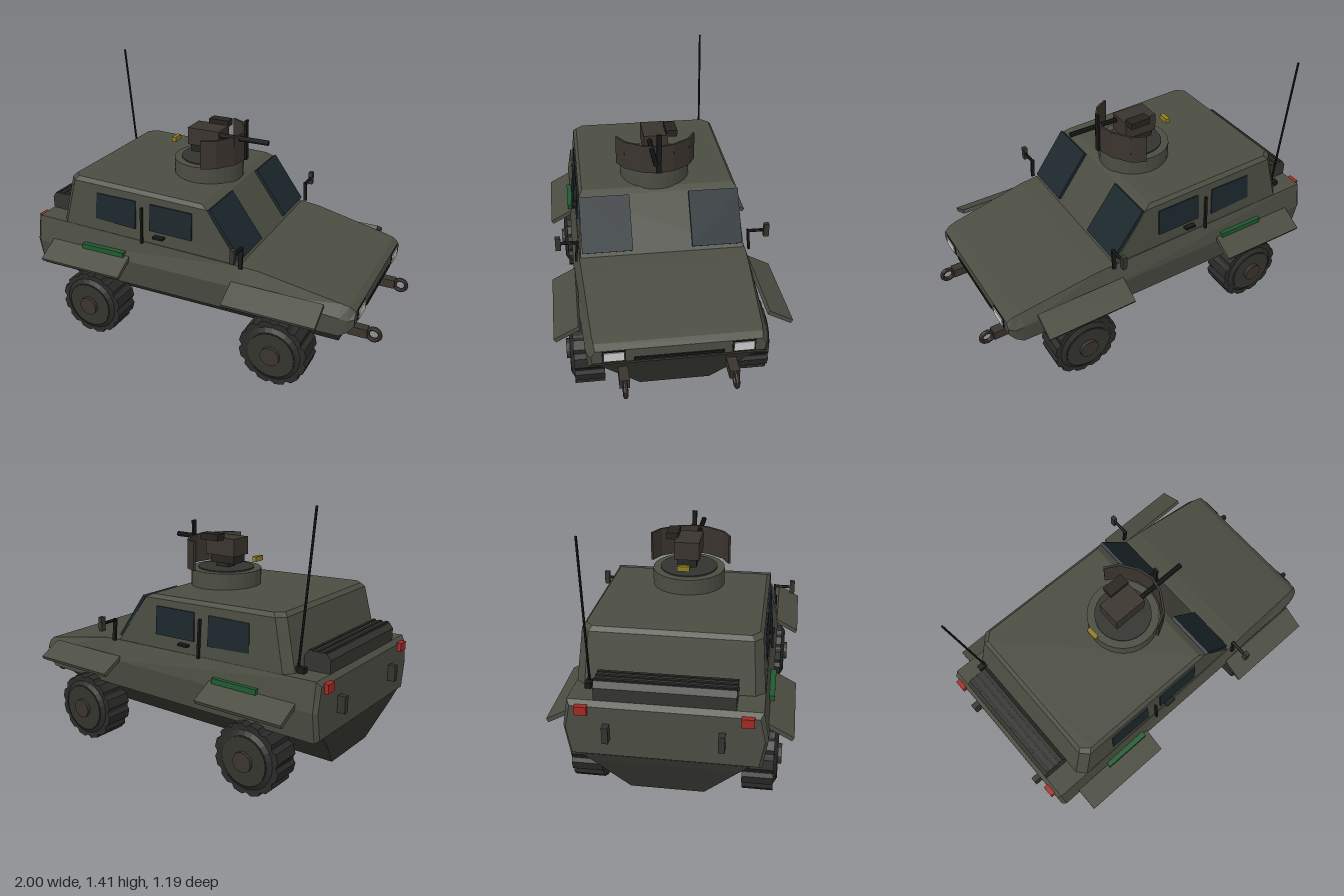
import * as THREE from 'three';

const mat = (color, side = THREE.FrontSide) =>
  new THREE.MeshStandardMaterial({ color, flatShading: true, side });
const M = {
  body: mat(0x4b4d42), dark: mat(0x33342e), metal: mat(0x3a342e), gun: mat(0x262420),
  black: mat(0x181818), tyre: mat(0x2a2a29), glass: mat(0x1c272c), lamp: mat(0xcccccc),
  red: mat(0xa02a22), green: mat(0x1f5a30), yellow: mat(0x8f7d22),
};

export function createModel() {
  const root = new THREE.Group();
  root.name = 'armouredCar';

  function add(name, geo, material, x = 0, y = 0, z = 0, rx = 0, ry = 0, rz = 0) {
    const m = new THREE.Mesh(geo, material);
    m.name = name;
    m.position.set(x, y, z);
    m.rotation.set(rx, ry, rz);
    root.add(m);
    return m;
  }
  const box = (name, material, size, ...place) =>
    add(name, new THREE.BoxGeometry(...size), material, ...place);
  const cyl = (name, material, r, h, n, ...place) =>
    add(name, new THREE.CylinderGeometry(r, r, h, n), material, ...place);

  // Copy a part to the other side, turning its triangles round
  function mirror(m) {
    m.updateMatrix();
    const g = m.geometry.index ? m.geometry.toNonIndexed() : m.geometry.clone();
    g.applyMatrix4(m.matrix);
    g.scale(1, 1, -1);
    const p = g.attributes.position;
    const a = new THREE.Vector3(), b = new THREE.Vector3();
    for (let i = 0; i < p.count; i += 3) {
      a.fromBufferAttribute(p, i + 1);
      b.fromBufferAttribute(p, i + 2);
      p.setXYZ(i + 1, b.x, b.y, b.z);
      p.setXYZ(i + 2, a.x, a.y, a.z);
    }
    g.computeVertexNormals();
    add(m.name, g, m.material);
  }

  // Join equal-length loops of [x, y, z] (clockwise seen from the last loop) and cap both ends
  function loft(loops) {
    const pos = [], n = loops[0].length, last = loops[loops.length - 1];
    const tri = (a, b, c) => pos.push(...a, ...b, ...c);
    for (let i = 0; i < loops.length - 1; i++) {
      for (let j = 0; j < n; j++) {
        const k = (j + 1) % n, a = loops[i][j], b = loops[i][k], c = loops[i + 1][k], d = loops[i + 1][j];
        tri(a, d, c);
        tri(a, c, b);
      }
    }
    for (let k = 1; k < n - 1; k++) {
      tri(loops[0][0], loops[0][k], loops[0][k + 1]);
      tri(last[0], last[k + 1], last[k]);
    }
    const g = new THREE.BufferGeometry();
    g.setAttribute('position', new THREE.Float32BufferAttribute(pos, 3));
    g.computeVertexNormals();
    return g;
  }

  // Upper hull: x, then height and half width at sill, waist and deck
  const hull = [
    [-0.96, 0.36, 0.44, 0.5, 0.465, 0.62, 0.44],
    [-0.94, 0.345, 0.455, 0.5, 0.48, 0.645, 0.455],
    [0.3, 0.345, 0.455, 0.5, 0.48, 0.607, 0.445],
    [0.39, 0.345, 0.455, 0.49, 0.475, 0.6, 0.44],
    [0.82, 0.345, 0.44, 0.45, 0.45, 0.515, 0.415],
    [0.86, 0.37, 0.43, 0.44, 0.44, 0.505, 0.41],
    [0.89, 0.41, 0.42, 0.45, 0.425, 0.482, 0.405],
  ].map(([x, yb, zb, ym, zm, yt, zt]) =>
    [[x, yb, zb], [x, ym, zm], [x, yt, zt], [x, yt, -zt], [x, ym, -zm], [x, yb, -zb]]);
  add('upperHull', loft(hull), M.body);

  // Boat-shaped lower hull
  const belly = [[0.135, -0.89, 0.75, 0.18], [0.31, -0.945, 0.82, 0.35], [0.355, -0.955, 0.84, 0.4]]
    .map(([y, x0, x1, z]) => [[x0, y, -z], [x1, y, -z], [x1, y, z], [x0, y, z]]);
  add('lowerHull', loft(belly), M.dark);

  // Cabin with chamfered rear corners and a bevelled roof edge
  const cabin = [
    // rear x, rear z, corner x, corner z, rear y, front x, front z, front y
    [-0.81, 0.41, -0.77, 0.455, 0.6, 0.29, 0.44, 0.6],
    [-0.74, 0.39, -0.7, 0.43, 0.895, 0.095, 0.428, 0.872],
    [-0.72, 0.375, -0.68, 0.412, 0.915, 0.06, 0.41, 0.892],
  ].map(([rx, rz, cx, cz, ry, fx, fz, fy]) => [
    [rx, ry, -rz], [cx, ry, -cz], [fx, fy, -fz], [fx, fy, fz], [cx, ry, cz], [rx, ry, rz]]);
  add('cabin', loft(cabin), M.body);

  // Side windows lying on the sloping cabin walls
  const wallZ = (y) => 0.452 - (y - 0.6) * 0.075;
  for (const pts of [
    [[-0.57, 0.7], [-0.56, 0.845], [-0.32, 0.843], [-0.32, 0.687]],
    [[-0.235, 0.695], [-0.23, 0.843], [0.015, 0.838], [0.015, 0.69]],
  ]) {
    const loop = (o) => pts.map(([x, y]) => [x, y, wallZ(y) + o]);
    mirror(add('sideWindow', loft([loop(-0.02), loop(0.004)]), M.glass));
  }

  // Windscreen panes
  const slope = Math.atan2(0.272, 0.195);
  mirror(box('windscreen', M.glass, [0.3, 0.018, 0.27], 0.194, 0.752, 0.295, 0, 0, -slope));

  // Door rails and handles
  mirror(box('doorRail', M.black, [0.012, 0.2, 0.014], -0.275, 0.72, 0.456, -0.075));
  mirror(box('doorHandle', M.black, [0.06, 0.012, 0.03], -0.175, 0.668, 0.455));

  // Wheels
  const tread = new THREE.Shape();
  const lugs = 12;
  for (let i = 0; i < lugs; i++) {
    [[0, 0.172], [0.2, 0.186], [0.7, 0.186], [0.9, 0.172]].forEach(([t, r], k) => {
      const a = ((i + t) / lugs) * Math.PI * 2;
      tread[i + k ? 'lineTo' : 'moveTo'](Math.cos(a) * r, Math.sin(a) * r);
    });
  }
  const tyreGeo = new THREE.ExtrudeGeometry(tread, { depth: 0.155, bevelEnabled: false });
  const q = Math.PI / 2;
  for (const x of [-0.6, 0.5]) {
    const y = 0.185;
    mirror(add('tyre', tyreGeo, M.tyre, x, y, 0.352));
    mirror(add('tyreWall', new THREE.CylinderGeometry(0.13, 0.155, 0.016, 24), M.tyre, x, y, 0.514, q));
    mirror(cyl('rim', M.dark, 0.125, 0.02, 24, x, y, 0.516, q));
    mirror(cyl('hubCap', M.metal, 0.052, 0.04, 16, x, y, 0.524, q));
    mirror(box('axleArm', M.dark, [0.06, 0.03, 0.24], x, 0.205, 0.26, -0.07));
  }

  // Fender flares and side tool bars
  for (const x of [-0.6, 0.5]) mirror(box('fenderFlare', M.body, [0.495, 0.022, 0.14], x, 0.483, 0.53, 0.5));
  mirror(box('sideToolBar', M.green, [0.26, 0.028, 0.03], -0.51, 0.535, 0.478));

  // Wing mirrors
  mirror(box('wingMirror', M.dark, [0.024, 0.075, 0.028], 0.3, 0.718, 0.552));
  mirror(cyl('mirrorArm', M.black, 0.009, 0.09, 8, 0.3, 0.718, 0.5, q));
  mirror(box('mirrorBracket', M.black, [0.02, 0.12, 0.012], 0.3, 0.665, 0.458, -0.1));

  // Nose fittings: headlights, grille slot, tow hooks
  mirror(box('headlightFrame', M.black, [0.02, 0.064, 0.115], 0.884, 0.448, 0.315));
  mirror(box('headlight', M.lamp, [0.022, 0.05, 0.1], 0.888, 0.448, 0.315));
  box('grilleSlot', M.black, [0.02, 0.014, 0.44], 0.886, 0.426, 0);
  mirror(box('towBracket', M.metal, [0.1, 0.05, 0.05], 0.875, 0.295, 0.27));
  mirror(box('towMount', M.dark, [0.08, 0.035, 0.04], 0.815, 0.3, 0.27));
  mirror(add('towRing', new THREE.TorusGeometry(0.033, 0.012, 8, 14), M.metal, 0.955, 0.29, 0.27));

  // Rear fittings
  mirror(box('tailLight', M.red, [0.03, 0.045, 0.06], -0.965, 0.605, 0.385));
  mirror(box('rearHinge', M.dark, [0.045, 0.085, 0.03], -0.977, 0.492, 0.27));
  const roll = [[-0.94, 0.63], [-0.94, 0.71], [-0.92, 0.738], [-0.82, 0.738], [-0.8, 0.71], [-0.8, 0.63]];
  add('stowageRoll', loft([-0.33, 0.33].map((z) => roll.map(([x, y]) => [x, y, z]))), M.dark);
  for (const x of [-0.905, -0.87, -0.835]) box('rollRib', M.tyre, [0.014, 0.012, 0.66], x, 0.738, 0);

  // Whip antenna
  cyl('antenna', M.black, 0.006, 0.77, 6, -0.834, 1.03, -0.38, 0, 0, 0.087);
  box('antennaBase', M.black, [0.06, 0.03, 0.03], -0.81, 0.655, -0.38);

  // Turret ring, pedestal and weapon
  cyl('turretRing', M.body, 0.19, 0.1, 28, -0.105, 0.935, 0);
  cyl('turretHatch', M.dark, 0.15, 0.012, 28, -0.105, 0.986, 0);
  box('gunPedestal', M.gun, [0.08, 0.06, 0.06], -0.1, 1.0, 0);
  box('gunBody', M.metal, [0.185, 0.095, 0.13], -0.108, 1.105, 0);
  box('gunCradle', M.gun, [0.15, 0.06, 0.1], -0.115, 1.045, 0);
  box('gunSight', M.gun, [0.115, 0.035, 0.06], -0.075, 1.16, -0.085);
  cyl('gunBarrel', M.black, 0.014, 0.28, 10, 0.12, 1.125, 0.035, 0, 0, q);
  box('sightPost', M.black, [0.012, 0.22, 0.026], 0.118, 1.11, 0);
  box('casingBox', M.yellow, [0.024, 0.026, 0.062], -0.308, 1.056, 0);

  // Faceted gun shield, panel by panel
  const rim = [[-0.05, 0.208], [0.02, 0.17], [0.08, 0.08], [0.098, 0], [0.08, -0.08], [0.02, -0.17], [-0.05, -0.208]];
  for (let i = 0; i < rim.length - 1; i++) {
    const [x0, z0] = rim[i], [x1, z1] = rim[i + 1];
    const dx = x1 - x0, dz = z1 - z0;
    box('gunShield', M.metal, [Math.hypot(dx, dz) + 0.004, 0.155, 0.012],
      (x0 + x1) / 2, 1.067, (z0 + z1) / 2, 0, Math.atan2(-dz, dx));
  }
  return root;
}
